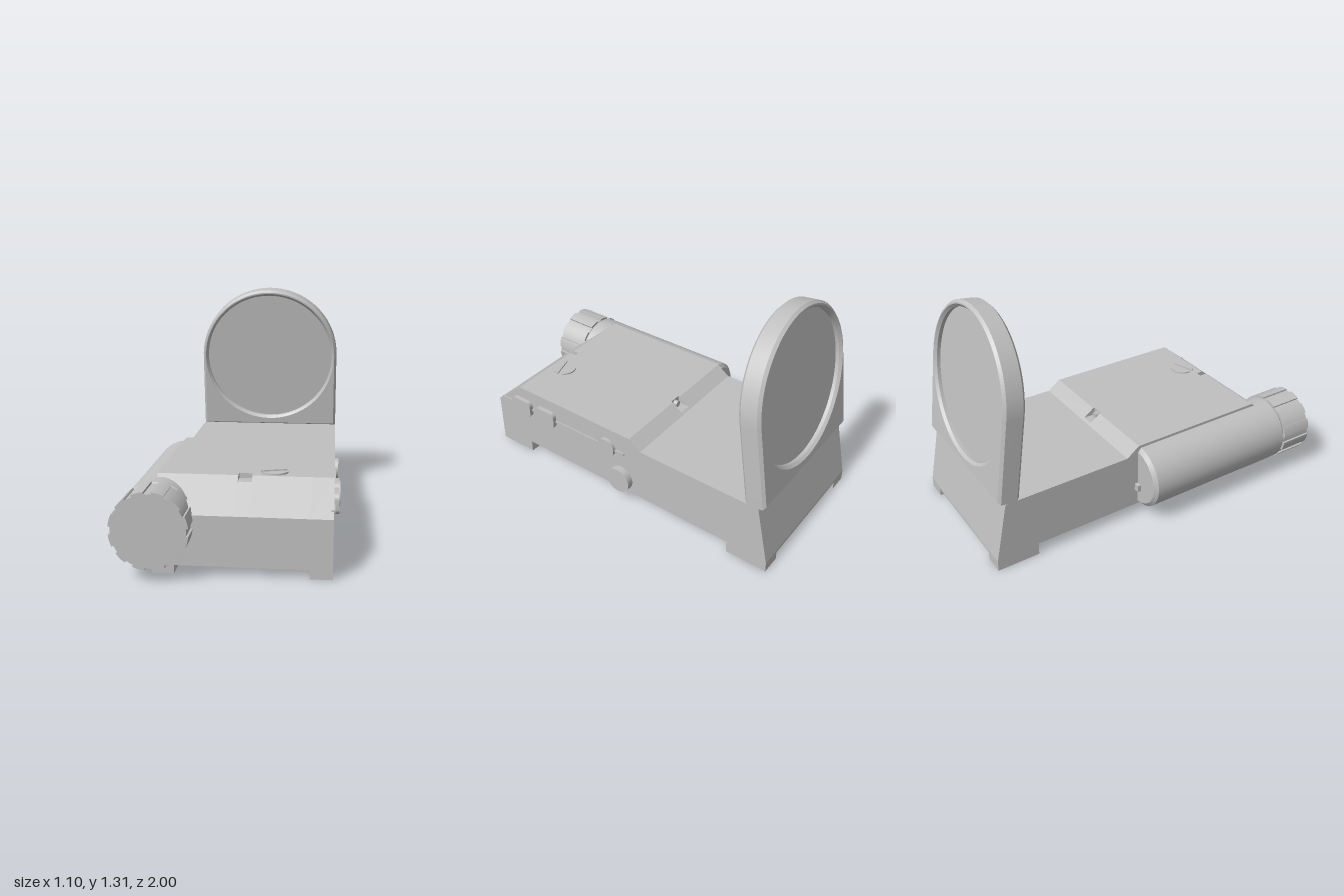
import * as THREE from 'three';
import { toCreasedNormals } from 'three/addons/utils/BufferGeometryUtils.js';

const metal = new THREE.MeshStandardMaterial({ color: 0xc0c0c0 });
metal.name = 'grey metal';

const CX = 0.07; // centre line of the body

function add(parent, name, geometry, x = 0, y = 0, z = 0) {
  const mesh = new THREE.Mesh(geometry, metal);
  mesh.name = name;
  mesh.position.set(x, y, z);
  parent.add(mesh);
  return mesh;
}

// Extrude a (z, y) side profile across the body from x0 to x1
function slice(points, x0, x1) {
  const shape = new THREE.Shape(points.map(([z, y]) => new THREE.Vector2(z, y)));
  const g = new THREE.ExtrudeGeometry(shape, { depth: x1 - x0, bevelEnabled: false });
  return g.rotateY(-Math.PI / 2).translate(x1, 0, 0);
}

// Side profile: foot sets the height of the end bars, notched cuts the sight notches
function bodyProfile(foot, notched) {
  const front = notched
    ? [[0.72, 0.43], [0.65, 0.43], [0.65, 0.455]]
    : [[0.69, 0.455]];
  const rear = notched
    ? [[-0.11, 0.455], [-0.11, 0.41], [-0.18, 0.41]]
    : [[-0.12, 0.455]];
  return [
    [0.64, foot], [0.875, foot], [0.875, 0.3], ...front, ...rear,
    [-0.195, 0.4], [-0.93, 0.4], [-0.935, 0.38], [-1, 0.06], [-1, foot],
    [-0.76, foot], [-0.76, 0.07], [0.64, 0.07],
  ];
}

function roundedRect(w, h, r) {
  const s = new THREE.Shape();
  s.absarc(w / 2 - r, h / 2 - r, r, 0, Math.PI / 2);
  s.absarc(-w / 2 + r, h / 2 - r, r, Math.PI / 2, Math.PI);
  s.absarc(-w / 2 + r, -h / 2 + r, r, Math.PI, Math.PI * 1.5);
  s.absarc(w / 2 - r, -h / 2 + r, r, Math.PI * 1.5, Math.PI * 2);
  return s;
}

function buildBody(model) {
  const body = new THREE.Group();
  body.name = 'body';
  model.add(body);
  const cuts = [
    ['rightFootSide', -0.37, -0.26, 0, false],
    ['rightDeck', -0.26, 0.035, 0.045, false],
    ['sightChannel', 0.035, 0.105, 0.045, true],
    ['leftDeck', 0.105, 0.4, 0.045, false],
    ['leftFootSide', 0.4, 0.51, 0, false],
  ];
  for (const [name, x0, x1, foot, notched] of cuts) {
    add(body, name, slice(bodyProfile(foot, notched), x0, x1));
  }
  // Emitter lens in the rear notch
  const lens = new THREE.CylinderGeometry(0.018, 0.018, 0.03, 16).rotateX(Math.PI / 2);
  add(body, 'emitter', lens, CX, 0.43, -0.12);

  // Slotted screw cap: two half discs with a gap
  const half = new THREE.Shape();
  const a = Math.asin(0.012 / 0.07);
  half.absarc(0, 0, 0.07, a, Math.PI - a);
  const halfGeo = new THREE.ExtrudeGeometry(half, { depth: 0.02, bevelEnabled: false, curveSegments: 20 });
  halfGeo.rotateX(-Math.PI / 2);
  for (const turn of [0, Math.PI]) {
    add(body, 'screwCapHalf', halfGeo, 0.21, 0.443, 0.61).rotation.y = turn + 0.3;
  }
}

function buildControls(model) {
  const controls = new THREE.Group();
  controls.name = 'sideControls';
  model.add(controls);
  // Square push buttons
  const button = toCreasedNormals(new THREE.ExtrudeGeometry(roundedRect(0.145, 0.105, 0.03),
    { depth: 0.035, bevelEnabled: false, curveSegments: 6 }).rotateY(Math.PI / 2), 0.6);
  for (const z of [0.672, 0.488]) add(controls, 'pushButton', button, 0.5, 0.333, z);
  // Round button and larger dial
  for (const [name, r, end, y, z] of [
    ['roundButton', 0.058, 0.53, 0.33, 0.035], ['roundDial', 0.076, 0.547, 0.154, -0.06],
  ]) {
    const g = new THREE.CylinderGeometry(r, r, end - 0.49, 32).rotateZ(Math.PI / 2);
    add(controls, name, g, (end + 0.49) / 2, y, z);
  }
  // Thin rail linking the buttons
  add(controls, 'rail', new THREE.BoxGeometry(0.02, 0.014, 0.925), 0.507, 0.329, 0.378);
}

function buildBattery(model) {
  const battery = new THREE.Group();
  battery.name = 'batteryHousing';
  battery.position.set(-0.357, 0.253, 0);
  model.add(battery);
  // Tube with chamfered rear rim
  const profile = [[0, -0.125], [0.165, -0.125], [0.187, -0.105], [0.187, 0.8], [0.175, 0.815], [0, 0.815]]
    .map(([r, z]) => new THREE.Vector2(r, z));
  add(battery, 'tube', toCreasedNormals(new THREE.LatheGeometry(profile, 48).rotateX(Math.PI / 2), 0.5));
  // Grooved end cap
  const cap = new THREE.Shape();
  const teeth = 12, step = Math.PI * 2 / teeth, groove = 0.1;
  for (let i = 0; i < teeth; i++) {
    const t = Math.PI / 2 + i * step;
    cap.absarc(0, 0, 0.182, t - groove, t + groove);
    cap.absarc(0, 0, 0.193, t + groove, t + step - groove);
  }
  add(battery, 'knob', toCreasedNormals(new THREE.ExtrudeGeometry(cap,
    { depth: 0.19, bevelEnabled: false, curveSegments: 4 }), 0.5), 0, 0, 0.81);
  add(battery, 'peg', new THREE.BoxGeometry(0.035, 0.04, 0.05), -0.027, -0.06, -0.12);
}

function buildWindow(model) {
  const window = new THREE.Group();
  window.name = 'lensWindow';
  window.position.set(CX, 0.4, -0.91);
  window.rotation.x = 0.135;
  model.add(window);
  // Arched frame with a bevelled circular opening
  const arch = new THREE.Shape();
  arch.moveTo(-0.44, 0);
  arch.lineTo(0.44, 0);
  arch.absarc(0, 0.472, 0.44, 0, Math.PI);
  arch.closePath();
  const hole = new THREE.Path();
  hole.absarc(0, 0.468, 0.408, 0, Math.PI * 2, true);
  arch.holes.push(hole);
  const frame = new THREE.ExtrudeGeometry(arch, {
    depth: 0.09, curveSegments: 40, bevelThickness: 0.015, bevelSize: 0.014, bevelOffset: -0.014, bevelSegments: 1,
  });
  add(window, 'frame', toCreasedNormals(frame.translate(0, 0, -0.045), 0.4));
  // Inset lens disc
  add(window, 'lens', new THREE.CylinderGeometry(0.415, 0.415, 0.05, 80).rotateX(Math.PI / 2), 0, 0.468, 0);
}

export function createModel() {
  const model = new THREE.Group();
  model.name = 'reflexSight';
  buildBody(model);
  buildControls(model);
  buildBattery(model);
  buildWindow(model);
  return model;
}
